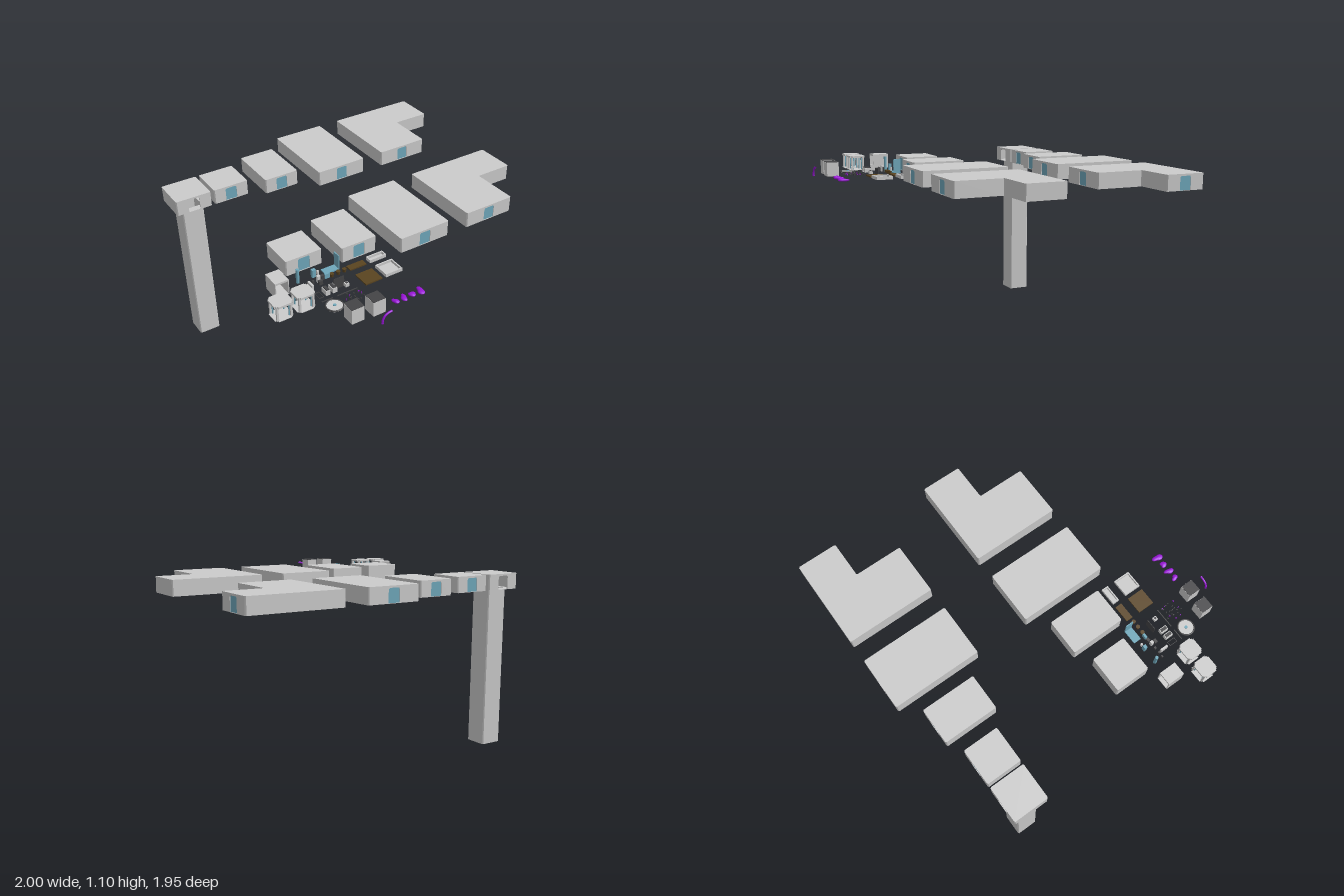
import * as THREE from 'three';

const paint = (c) => new THREE.MeshStandardMaterial({ color: c, side: THREE.DoubleSide });
const GREY = paint(0xcccccc), TEAL = paint(0x6fa8bb), DARK = paint(0x444446);
const BROWN = paint(0x5a4420), PURPLE = paint(0x9a14d8);
const FLOOR = 1, TALL = 0.098, WALL = 0.006;

function add(parent, name, geometry, material, x = 0, y = 0, z = 0) {
  const mesh = new THREE.Mesh(geometry, material);
  mesh.name = name;
  mesh.position.set(x, y, z);
  parent.add(mesh);
  return mesh;
}

// Box standing on height y
const block = (parent, name, mat, w, h, d, x, z, y = FLOOR) =>
  add(parent, name, new THREE.BoxGeometry(w, h, d), mat, x, y + h / 2, z);

const rect = (x0, z0, x1, z1) => [[x0, z0], [x1, z0], [x1, z1], [x0, z1]];

// Cut every corner of a floor plan
function chamfer(plan, c = 0.006) {
  const out = [];
  plan.forEach((p, i) => {
    for (const q of [plan.at(i - 1), plan[(i + 1) % plan.length]]) {
      const len = Math.hypot(q[0] - p[0], q[1] - p[1]);
      out.push([p[0] + (q[0] - p[0]) * c / len, p[1] + (q[1] - p[1]) * c / len]);
    }
  });
  return out;
}

// Upright prism over a floor plan, with an optional hole
function prism(plan, height, hole) {
  const points = (list) => list.map(([x, z]) => new THREE.Vector2(x, -z));
  const shape = new THREE.Shape(points(plan));
  if (hole) shape.holes.push(new THREE.Path(points(hole)));
  return new THREE.ExtrudeGeometry(shape, { depth: height, bevelEnabled: false }).rotateX(-Math.PI / 2);
}

function doorOutline(cx, Kind) {
  const w = 0.038, h = 0.086, c = 0.008;
  return new Kind([[-w, 0.002], [w, 0.002], [w, h - c], [w - c, h], [c - w, h], [-w, h - c]]
    .map(([x, y]) => new THREE.Vector2(cx + x, y)));
}

// Hollow room: floor, roof, one wall per plan edge, doorways at given points
function room(parent, name, plan, doors, hole) {
  const g = new THREE.Group();
  g.name = name;
  parent.add(g);
  const outline = chamfer(plan);
  add(g, 'floor', prism(outline, 0.002, hole), GREY, 0, FLOOR, 0);
  add(g, 'roof', prism(outline, 0.004), GREY, 0, FLOOR + TALL - 0.004, 0);
  outline.forEach((a, i) => {
    const b = outline[(i + 1) % outline.length];
    const len = Math.hypot(b[0] - a[0], b[1] - a[1]);
    const dx = (b[0] - a[0]) / len, dz = (b[1] - a[1]) / len;
    const shape = new THREE.Shape([[0, 0], [len, 0], [len, TALL], [0, TALL]].map((p) => new THREE.Vector2(...p)));
    const turn = Math.atan2(-dz, dx);
    for (const [x, z] of doors) {
      const along = (x - a[0]) * dx + (z - a[1]) * dz;
      const away = Math.abs((x - a[0]) * dz - (z - a[1]) * dx);
      if (away > 0.003 || along < 0.04 || along > len - 0.04) continue;
      shape.holes.push(doorOutline(along, THREE.Path));
      if (hole) continue;
      const panel = add(g, 'door', new THREE.ShapeGeometry(doorOutline(along, THREE.Shape)), TEAL,
        a[0] - dz * 0.004, FLOOR, a[1] + dx * 0.004);
      panel.rotation.y = turn;
    }
    const wall = add(g, 'wall', new THREE.ExtrudeGeometry(shape, { depth: WALL, bevelEnabled: false }), GREY, a[0], FLOOR, a[1]);
    wall.rotation.y = turn;
  });
}

// Corridor piece: floor, roof and corner posts; side walls only where closed
function passage(parent, name, x, z, w, d, closed) {
  const g = new THREE.Group();
  g.name = name;
  parent.add(g);
  const n = closed ? 0.002 : 0.016;
  const [a, b] = [w / 2, d / 2];
  const plan = [[n - a, -b], [a - n, -b], [a - n, n - b], [a, n - b], [a, b - n], [a - n, b - n],
    [a - n, b], [n - a, b], [n - a, b - n], [-a, b - n], [-a, n - b], [n - a, n - b]]
    .map(([px, pz]) => [px + x, pz + z]);
  add(g, 'floor', prism(plan, 0.003), GREY, 0, FLOOR, 0);
  add(g, 'roof', prism(plan, 0.012), GREY, 0, FLOOR + TALL - 0.012, 0);
  for (const sx of [-1, 1]) {
    if (closed) block(g, 'sideWall', GREY, 0.005, TALL, d, x + sx * (a - 0.0025), z);
    else for (const sz of [-1, 1]) {
      block(g, 'post', GREY, 0.012, TALL, 0.012, x + sx * (a - 0.014), z + sz * (b - 0.014));
      block(g, 'postLining', TEAL, 0.006, 0.08, 0.006, x + sx * (a - 0.022), z + sz * (b - 0.022));
    }
  }
}

function tray(parent, x, z, w, d) {
  block(parent, 'trayBase', GREY, w, 0.005, d, x, z);
  for (const s of [-1, 1]) {
    block(parent, 'trayRim', GREY, w, 0.02, 0.008, x, z + s * (d / 2 - 0.004));
    block(parent, 'trayRim', GREY, 0.008, 0.02, d, x + s * (w / 2 - 0.004), z);
  }
}

// Flat irregular puddle
function puddle(parent, x, z, rx, rz, phase) {
  const geo = new THREE.SphereGeometry(1, 14, 8);
  const p = geo.attributes.position;
  for (let i = 0; i < p.count; i++) {
    const t = Math.atan2(p.getZ(i), p.getX(i));
    const r = 0.85 + 0.2 * Math.sin(2 * t + phase) + 0.1 * Math.cos(3 * t + phase);
    p.setXYZ(i, p.getX(i) * r * rx, p.getY(i) * 0.009, p.getZ(i) * r * rz);
  }
  geo.computeVertexNormals();
  add(parent, 'puddle', geo, PURPLE, x, FLOOR + 0.008, z);
}

export function createModel() {
  const model = new THREE.Group();
  model.name = 'roomKit';

  // Lift room over its deep shaft
  const shaft = rect(-0.953, -0.757, -0.812, -0.616);
  const inner = rect(-0.945, -0.749, -0.82, -0.624);
  room(model, 'liftRoom', rect(-1, -0.805, -0.768, -0.579), [[-0.884, -0.805], [-0.884, -0.579]], inner);
  add(model, 'shaft', prism(chamfer(shaft), FLOOR, inner), GREY);
  add(model, 'shaftBottom', prism(chamfer(shaft), 0.004), GREY);

  // Back row has through doors, front row has front doors only
  const sizes = [
    ['smallRoom', -0.745, -0.513, -0.805, -0.579, 0.106, 0.331],
    ['mediumRoom', -0.417, -0.185, -0.86, -0.514, 0.045, 0.394],
    ['largeRoom', -0.082, 0.262, -0.973, -0.408, -0.064, 0.502],
  ];
  for (const [name, x0, x1, b0, b1, f0, f1] of sizes) {
    const cx = (x0 + x1) / 2;
    room(model, name + 'Back', rect(x0, b0, x1, b1), [[cx, b0], [cx, b1]]);
    room(model, name + 'Front', rect(x0, f0, x1, f1), [[cx, f1]]);
  }
  const corner = (z) => [[0.405, z], [0.997, z], [0.997, z + 0.258], [0.75, z + 0.258], [0.75, z + 0.565], [0.405, z + 0.565]];
  room(model, 'cornerRoomBack', corner(-0.973), [[0.577, -0.408], [0.997, -0.844]]);
  room(model, 'cornerRoomFront', corner(-0.064), [[0.577, 0.501]]);

  // Corridor pieces
  passage(model, 'corridor', -0.848, 0.422, 0.084, 0.11, true);
  passage(model, 'crossing', -0.93, 0.605, 0.11, 0.105, false);
  passage(model, 'junction', -0.796, 0.605, 0.11, 0.105, false);

  // Crates with dark insides
  for (const [x, z] of [[-0.628, 0.846], [-0.5, 0.854]]) {
    block(model, 'crate', GREY, 0.078, 0.09, 0.078, x, z, FLOOR + 0.003);
    block(model, 'crateTop', DARK, 0.076, 0.003, 0.076, x, z, FLOOR + 0.093);
    block(model, 'crateBottom', DARK, 0.076, 0.003, 0.076, x, z);
  }

  // Trays and soil beds
  for (const [z, d] of [[0.592, 0.108], [0.464, 0.044]]) {
    tray(model, -0.231, z, 0.112, d);
    block(model, 'soilBed', BROWN, 0.11, 0.008, d, -0.366, z);
  }

  // Round pad with rim and glowing centre
  add(model, 'pad', new THREE.CylinderGeometry(0.05, 0.05, 0.008, 24), GREY, -0.66, FLOOR + 0.004, 0.704);
  add(model, 'padRim', new THREE.TorusGeometry(0.049, 0.005, 6, 24).rotateX(Math.PI / 2), DARK, -0.66, FLOOR + 0.006, 0.704);
  add(model, 'padCentre', new THREE.CylinderGeometry(0.009, 0.009, 0.006, 12), TEAL, -0.66, FLOOR + 0.01, 0.704);

  // Glass panels, tube and dark hanging plate
  block(model, 'glassSlab', TEAL, 0.095, 0.008, 0.05, -0.51, 0.415);
  block(model, 'glassPanel', TEAL, 0.006, 0.095, 0.05, -0.466, 0.415);
  add(model, 'glassTube', new THREE.CylinderGeometry(0.01, 0.01, 0.09, 12), TEAL, -0.72, FLOOR + 0.045, 0.416);
  block(model, 'hangingPlate', DARK, 0.07, 0.07, 0.003, -0.53, 0.538, 0.963);

  // Small furniture: [material, width, height, depth, x, z]
  const furniture = [
    [TEAL, 0.022, 0.05, 0.02, -0.62, 0.416], [GREY, 0.012, 0.03, 0.012, -0.592, 0.416],
    [DARK, 0.012, 0.02, 0.01, -0.72, 0.47], [DARK, 0.012, 0.02, 0.01, -0.69, 0.47],
    [DARK, 0.014, 0.02, 0.012, -0.655, 0.47], [GREY, 0.02, 0.04, 0.018, -0.62, 0.47],
    [DARK, 0.02, 0.03, 0.018, -0.592, 0.465], [TEAL, 0.03, 0.03, 0.014, -0.562, 0.465],
    [GREY, 0.012, 0.04, 0.05, -0.69, 0.506], [DARK, 0.024, 0.025, 0.018, -0.622, 0.496],
    [GREY, 0.028, 0.03, 0.05, -0.638, 0.58], [GREY, 0.028, 0.03, 0.05, -0.595, 0.58],
    [DARK, 0.018, 0.035, 0.04, -0.638, 0.58], [DARK, 0.018, 0.035, 0.04, -0.595, 0.58],
    [GREY, 0.024, 0.02, 0.024, -0.51, 0.587], [DARK, 0.012, 0.024, 0.012, -0.51, 0.587],
    [DARK, 0.07, 0.004, 0.005, -0.665, 0.638], [DARK, 0.13, 0.004, 0.005, -0.538, 0.638],
  ];
  for (const [mat, w, h, d, x, z] of furniture) block(model, 'smallFitting', mat, w, h, d, x, z);
  for (const s of [-1, 1]) {
    block(model, 'frameSide', DARK, 0.003, 0.004, 0.05, -0.682 + s * 0.013, 0.58);
    block(model, 'frameEnd', DARK, 0.029, 0.004, 0.003, -0.682, 0.58 + s * 0.025);
  }
  for (const x of [-0.533, -0.491, -0.45])
    add(model, 'plantPot', new THREE.CylinderGeometry(0.013, 0.01, 0.02, 10), BROWN, x, FLOOR + 0.01, 0.47);

  // Scattered debris
  let seed = 7;
  const next = () => (seed = (seed * 16807) % 2147483647) / 2147483647;
  for (let i = 0; i < 26; i++) {
    const bit = block(model, 'debris', i % 4 ? DARK : PURPLE, 0.004 + 0.006 * next(), 0.008, 0.004,
      -0.585 + 0.115 * next(), 0.655 + 0.11 * next());
    bit.rotation.y = next() * Math.PI;
  }

  // Puddles and curling tendril
  puddle(model, -0.37, 0.856, 0.02, 0.026, 0);
  puddle(model, -0.316, 0.856, 0.02, 0.036, 3);
  puddle(model, -0.261, 0.856, 0.02, 0.03, 1.5);
  puddle(model, -0.205, 0.856, 0.026, 0.036, 4);
  const path = new THREE.CatmullRomCurve3([[-0.532, 1.004], [-0.53, 1.025], [-0.518, 1.048], [-0.497, 1.06], [-0.472, 1.064]]
    .map(([x, y]) => new THREE.Vector3(x, y, 0.966)));
  add(model, 'tendril', new THREE.TubeGeometry(path, 16, 0.006, 8), PURPLE);
  add(model, 'tendrilRoot', new THREE.SphereGeometry(0.007, 10, 8), PURPLE, -0.532, FLOOR + 0.007, 0.966);
  return model;
}
